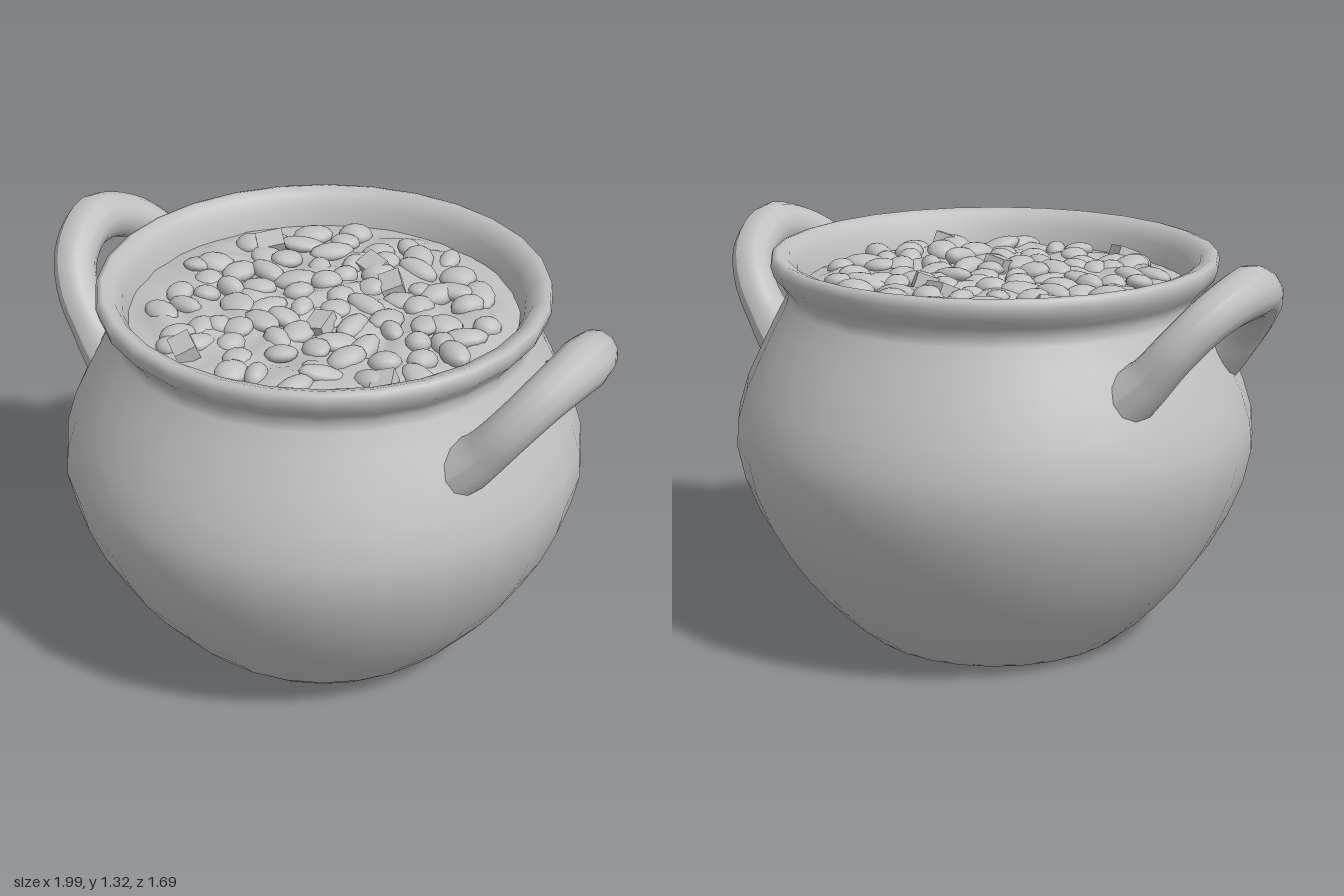
import * as THREE from 'three';

const clay = new THREE.MeshStandardMaterial({ color: 0xc0c0c0 });
clay.name = 'grey clay';

// small seeded random generator
let seed = 11;
const rand = () => {
  seed = (seed * 16807) % 2147483647;
  return seed / 2147483647;
};

function add(parent, name, geometry) {
  const mesh = new THREE.Mesh(geometry, clay);
  mesh.name = name;
  parent.add(mesh);
  return mesh;
}

// round belly, narrow neck, flared lip and inner wall in one turned profile
function potGeometry() {
  const profile = [
    [0, 0.02], [0.4, 0.012], [0.45, 0], [0.465, 0.015], [0.52, 0.06], [0.585, 0.13],
    [0.655, 0.215], [0.72, 0.31], [0.78, 0.42], [0.827, 0.54], [0.85, 0.65], [0.843, 0.74],
    [0.812, 0.84], [0.765, 0.94], [0.715, 1.04], [0.678, 1.11], [0.67, 1.14], [0.688, 1.17],
    [0.714, 1.2], [0.724, 1.235], [0.718, 1.26], [0.7, 1.265], [0.665, 1.252],
    [0.64, 1.21], [0.625, 1.15], [0.61, 1.08],
  ].map(([r, y]) => new THREE.Vector2(r, y));
  return new THREE.LatheGeometry(profile, 28, Math.PI / 28);
}

// leaning arch that thickens where it joins the belly
function handleGeometry() {
  const half = [[0.62, 0.9, 0.285], [0.72, 0.99, 0.268], [0.8, 1.09, 0.245], [0.87, 1.185, 0.165]];
  const path = [...half, [0.912, 1.238, 0], ...half.slice().reverse().map(([x, y, z]) => [x, y, -z])];
  const curve = new THREE.CatmullRomCurve3(path.map((p) => new THREE.Vector3(...p)));
  const rings = 32, sides = 12;
  const geo = new THREE.TubeGeometry(curve, rings, 0.083, sides);
  const pos = geo.attributes.position;
  const v = new THREE.Vector3();
  for (let i = 0; i <= rings; i++) {
    const t = i / rings;
    const centre = curve.getPointAt(t);
    const end = Math.abs(t - 0.5) * 2;
    const k = 1 - 0.16 * Math.sin(end * Math.PI) + 0.2 * Math.max(0, (end - 0.72) / 0.28);
    for (let j = 0; j <= sides; j++) {
      const n = i * (sides + 1) + j;
      v.fromBufferAttribute(pos, n).sub(centre).multiplyScalar(k).add(centre);
      pos.setXYZ(n, v.x, v.y, v.z);
    }
  }
  geo.computeVertexNormals();
  return geo;
}

// uneven surface of the stew, rising slightly to the middle
function stewGeometry() {
  const geo = new THREE.RingGeometry(0.001, 0.64, 56, 22);
  geo.rotateX(-Math.PI / 2);
  const pos = geo.attributes.position;
  for (let i = 0; i < pos.count; i++) {
    const x = pos.getX(i), z = pos.getZ(i);
    const fade = Math.min(1, (0.64 - Math.hypot(x, z)) / 0.12);
    const bumps = Math.sin(x * 21 + 2 * Math.sin(z * 9)) * Math.cos(z * 23 + 2 * Math.sin(x * 11));
    pos.setY(i, 1.145 + fade * (0.022 + 0.018 * bumps));
  }
  geo.computeVertexNormals();
  return geo;
}

export function createModel() {
  const model = new THREE.Group();
  model.name = 'stewPot';

  add(model, 'pot', potGeometry());

  const handle = handleGeometry();
  add(model, 'leftHandle', handle);
  add(model, 'rightHandle', handle).rotation.y = Math.PI;

  // stew with half-sunken lumps spread in a spiral
  const stew = new THREE.Group();
  stew.name = 'stew';
  model.add(stew);
  add(stew, 'stewSurface', stewGeometry());
  const lump = new THREE.SphereGeometry(1, 12, 8);
  const count = 85;
  for (let i = 0; i < count; i++) {
    const r = 0.54 * Math.sqrt((i + 0.5) / count);
    const a = i * 2.39996 + (rand() - 0.5) * 0.3;
    const mesh = add(stew, 'stewLump', lump);
    mesh.position.set(r * Math.cos(a), 1.16 + rand() * 0.016, r * Math.sin(a));
    mesh.scale.set(0.045 + rand() * 0.035, 0.024 + rand() * 0.014, 0.034 + rand() * 0.02);
    mesh.rotation.set((rand() - 0.5) * 0.5, rand() * Math.PI, (rand() - 0.5) * 0.5);
  }

  // a few cut cubes poking out
  const cube = new THREE.BoxGeometry(0.07, 0.05, 0.09);
  for (const [x, z, turn] of [[0.07, 0.13, 0.1], [-0.2, 0.48, 0.9], [0.12, -0.22, 0.7], [0.43, 0.34, 0.4], [-0.38, -0.26, 2.3], [0, -0.3, 1.2]]) {
    const mesh = add(stew, 'stewCube', cube);
    mesh.position.set(x, 1.18, z);
    mesh.rotation.set(0.25, turn, 0.2);
  }
  return model;
}
